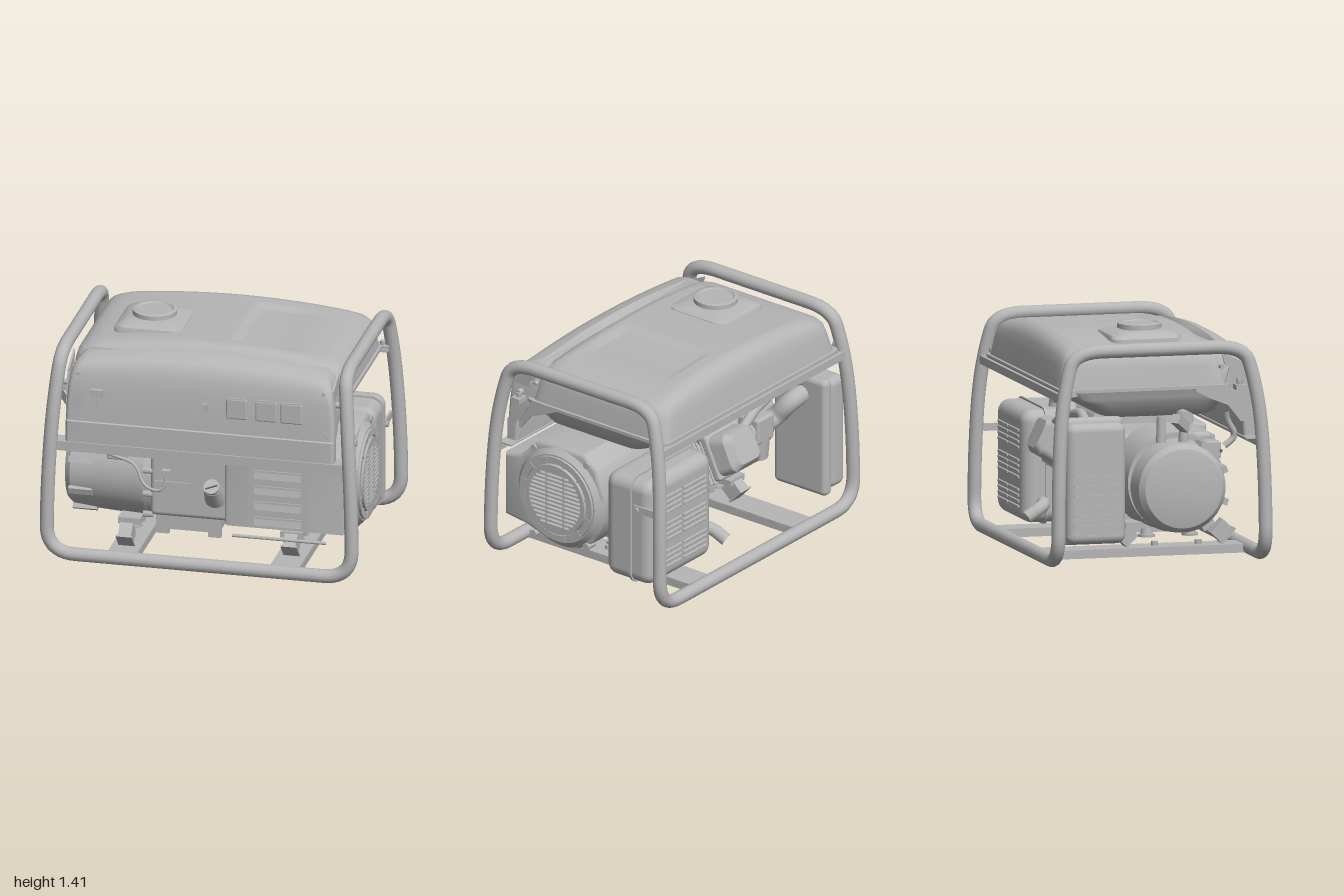
import * as THREE from 'three';
import { toCreasedNormals } from 'three/addons/utils/BufferGeometryUtils.js';
import { RoundedBoxGeometry } from 'three/addons/geometries/RoundedBoxGeometry.js';

const V = (x, y, z) => new THREE.Vector3(x, y, z);

// Rounded rectangle ring with matching point counts, corner by corner
function ring(a0, a1, b0, b1, r, side = 14) {
  const arcs = [[a1 - r, b1 - r], [a0 + r, b1 - r], [a0 + r, b0 + r], [a1 - r, b0 + r]].map(([a, b], c) =>
    Array.from({ length: 7 }, (_, k) => {
      const t = (c + k / 6) * Math.PI / 2;
      return [a + r * Math.cos(t), b + r * Math.sin(t)];
    }));
  return arcs.flatMap((arc, c) => {
    const p = arc[6], q = arcs[(c + 1) % 4][0], out = [...arc];
    for (let k = 1; k < side; k++) out.push([p[0] + (q[0] - p[0]) * k / side, p[1] + (q[1] - p[1]) * k / side]);
    return out;
  });
}

// Upward loft through sections [y, x0, x1, z0, z1, cornerRadius]; warp edits each vertex
function loft(sections, warp = p => p, crease = 0.6) {
  const pos = [], idx = [];
  const rings = sections.map(([y, ...s]) => ring(...s).map(([a, b]) => warp(V(a, y, b))));
  const n = rings[0].length;
  rings.flat().forEach(p => pos.push(p.x, p.y, p.z));
  for (let k = 0; k < rings.length - 1; k++) for (let j = 0; j < n; j++) {
    const a = k * n + j, c = k * n + (j + 1) % n;
    idx.push(a, a + n, c, c, a + n, c + n);
  }
  [0, rings.length - 1].forEach((k, end) => {
    const c = rings[k].reduce((s, p) => s.add(p), V(0, 0, 0)).divideScalar(n);
    pos.push(c.x, c.y, c.z);
    for (let j = 0; j < n; j++) {
      const a = k * n + j, b = k * n + (j + 1) % n, m = pos.length / 3 - 1;
      end ? idx.push(m, b, a) : idx.push(m, a, b);
    }
  });
  const g = new THREE.BufferGeometry();
  g.setAttribute('position', new THREE.Float32BufferAttribute(pos, 3));
  g.setIndex(idx);
  return toCreasedNormals(g, crease);
}

// Polyline with rounded corners, r = cut length at each corner
function roundedPath(pts, r, closed) {
  const path = new THREE.CurvePath(), n = pts.length;
  const toward = (p, q) => p.clone().add(q.clone().sub(p).setLength(Math.min(r, p.distanceTo(q) * 0.49)));
  let last = closed ? null : pts[0], first = null;
  for (let i = closed ? 0 : 1; i < (closed ? n : n - 1); i++) {
    const p = pts[i], a = toward(p, pts[(i + n - 1) % n]), b = toward(p, pts[(i + 1) % n]);
    if (last) path.add(new THREE.LineCurve3(last, a)); else first = a;
    path.add(new THREE.QuadraticBezierCurve3(a, p, b));
    last = b;
  }
  path.add(new THREE.LineCurve3(last, closed ? first : pts[n - 1]));
  return path;
}

export function createModel() {
  const root = new THREE.Group();
  root.name = 'portableGenerator';
  const grey = new THREE.MeshStandardMaterial({ color: 0xb6b6b6 });
  grey.name = 'plain grey';

  const add = (name, geo, x = 0, y = 0, z = 0, rx = 0, ry = 0, rz = 0, parent = root) => {
    const m = new THREE.Mesh(geo, grey);
    m.name = name;
    m.position.set(x, y, z);
    m.rotation.set(rx, ry, rz);
    parent.add(m);
    return m;
  };
  // Box given by its limits
  const box = (name, x0, x1, y0, y1, z0, z1, r = 0) => add(name,
    r ? new RoundedBoxGeometry(x1 - x0, y1 - y0, z1 - z0, 4, r) : new THREE.BoxGeometry(x1 - x0, y1 - y0, z1 - z0),
    (x0 + x1) / 2, (y0 + y1) / 2, (z0 + z1) / 2);
  const cyl = (r1, r2, h, n = 32) => new THREE.CylinderGeometry(r1, r2, h, n);
  // Cylinder along x, ra at the low end, rb at the high end
  const cylX = (name, x0, x1, y, z, ra, rb = ra, n = 48) => add(name, cyl(ra, rb, x1 - x0, n), (x0 + x1) / 2, y, z, 0, 0, Math.PI / 2);
  const pipe = (name, pts, radius, r = 0.06, closed = false, seg = 40) => add(name,
    new THREE.TubeGeometry(roundedPath(pts.map(p => V(...p)), r, closed), seg, radius, 14, closed));
  // Outline in [z, y] extruded from x0 to x1
  const extrudeX = (name, shape, x0, x1, bevel = 0) => {
    const g = new THREE.ExtrudeGeometry(shape, { depth: x1 - x0 - 2 * bevel, bevelEnabled: bevel > 0,
      bevelSize: bevel, bevelThickness: bevel, bevelOffset: -bevel, bevelSegments: 3, curveSegments: 32 });
    g.translate(0, 0, bevel).rotateY(Math.PI / 2);
    return add(name, toCreasedNormals(g, 0.6), x0);
  };
  const outline = pts => new THREE.Shape(pts.map(([z, y]) => new THREE.Vector2(-z, y)));
  const lathe = pts => toCreasedNormals(new THREE.LatheGeometry(pts.map(p => new THREE.Vector2(...p)), 48), 0.6);

  // Tube frame: one closed loop
  const quarter = [[0.943, 0.045, 0.647], [0.935, 0.5, 0.642], [0.915, 0.87, 0.625], [0.895, 1.12, 0.585], [0.875, 1.31, 0.53]];
  const mir = (sx, sz) => quarter.map(([x, y, z]) => [x * sx + 0.013, y, z * sz]);
  pipe('tubeFrame', [...mir(1, 1), ...mir(1, -1).reverse(), ...mir(-1, -1), ...mir(-1, 1).reverse()], 0.042, 0.18, true, 360);

  // Base rails and rubber mounts
  for (const x of [-0.47, 0.53]) {
    box('baseRailTop', x - 0.09, x + 0.09, 0.055, 0.067, -0.64, 0.64);
    for (const s of [-0.085, 0.085]) box('baseRailFlange', x + s - 0.006, x + s + 0.006, 0.015, 0.06, -0.64, 0.64);
    for (const [z, s] of [[x < 0 ? 0.49 : 0.42, 1], [-0.1, -1]]) {
      add('mountBlock', new THREE.BoxGeometry(0.08, 0.11, 0.09), x, 0.145, z, s * 0.75);
      add('mountPlate', new THREE.BoxGeometry(0.1, 0.13, 0.012), x, 0.11, z + s * 0.037, s * 0.75);
    }
    for (const z of [0.3, 0.03]) {
      add('rubberMount', cyl(0.03, 0.04, 0.06, 20), x, 0.15, z);
      add('mountFlange', cyl(0.05, 0.05, 0.015, 20), x, 0.13, z);
      add('mountBolt', cyl(0.022, 0.022, 0.025, 6), x, 0.08, z + 0.05);
    }
    box('engineFoot', x - 0.07, x + 0.07, 0.18, 0.22, -0.12, 0.43);
  }

  // Fuel tank lower shell
  add('tankLowerShell', loft([[0.88, -0.66, 0.66, -0.27, 0.38, 0.1], [0.9, -0.72, 0.72, -0.32, 0.41, 0.1],
    [0.98, -0.79, 0.79, -0.46, 0.43, 0.1], [1.01, -0.8, 0.8, -0.53, 0.44, 0.08], [1.06, -0.82, 0.82, -0.57, 0.45, 0.08]]));
  // Fuel tank upper shell: domed, its top rings closing in on a pressed tray that runs out to the side
  const y0 = 1.328, top = [-0.7, 0.71, -0.46, 0.3, 0.1], tray = [0.115, 0.68, -0.39, 0.275, 0.04], floor = [0.165, 0.66, -0.34, 0.225, 0.03];
  const morph = (a, b, steps) => Array.from({ length: steps }, (_, i) => [y0, ...a.map((v, k) => v + (b[k] - v) * (i + 1) / steps)]);
  const grow = (r, d) => [r[0] - d, r[1] + d, r[2] - d, r[3] + d, r[4]];
  const sunk = morph(grow(floor, -0.006), [0.41, 0.43, -0.07, -0.05, 0.005], 8);
  const tankRings = [[1.06, -0.86, 0.86, -0.61, 0.46, 0.06], [1.08, -0.86, 0.86, -0.61, 0.46, 0.06],
    [1.081, -0.84, 0.845, -0.595, 0.44, 0.08], [1.2, -0.82, 0.83, -0.575, 0.42, 0.1], [1.26, -0.81, 0.82, -0.56, 0.4, 0.1],
    [1.295, -0.79, 0.8, -0.54, 0.38, 0.1], [1.318, -0.75, 0.76, -0.505, 0.345, 0.1], [y0, ...top],
    ...morph(top, grow(tray, 0.006), 10), [y0, ...tray], [y0, ...floor], [y0, ...grow(floor, -0.006)], ...sunk];
  add('tankUpperShell', loft(tankRings, p => {
    const inTray = p.x > 0.16 && p.z > -0.345 && p.z < 0.23 && p.x < 0.661 && p.y === y0;
    p.y += Math.max(0, (p.y - 1.2) / 0.128) * (0.028 - 0.1 * p.x * p.x);
    if (inTray) p.y -= 0.024 * (1 - THREE.MathUtils.smoothstep(p.x, 0.3, 0.655));
    return p;
  }, 0.9));
  // Filler neck and cap
  add('fillerBase', loft([[1.29, -0.63, -0.195, -0.225, 0.22, 0.07], [1.34, -0.625, -0.2, -0.22, 0.215, 0.07],
    [1.357, -0.61, -0.205, -0.21, 0.21, 0.07], [1.378, -0.56, -0.265, -0.15, 0.145, 0.06]]));
  add('fuelCap', lathe([[0, 1.36], [0.115, 1.36], [0.115, 1.385], [0.134, 1.385], [0.134, 1.412], [0.128, 1.416],
    [0.112, 1.416], [0.105, 1.408], [0, 1.408]]), -0.413, 0, 0);

  // Tank support rails and corner brackets
  box('rearTankRail', -0.9, 0.9, 1.045, 1.06, -0.63, -0.52);
  box('rearTankRailLip', -0.9, 0.9, 1.01, 1.05, -0.63, -0.62);
  for (const s of [-1, 1]) {
    for (const z of [-0.56, 0.5]) {
      add('tankBracket', new THREE.BoxGeometry(0.08, 0.03, 0.06), s * 0.86, 1.065, z);
      add('tankBolt', cyl(0.018, 0.018, 0.06, 6), s * 0.86, 1.075, z);
    }
    const side = extrudeX('panelSideBracket', outline([[0.58, 0.85], [0.52, 0.85], [0.44, 0.95], [0.34, 0.99], [0.24, 1.04],
      [0.24, 1.07], [0.42, 1.08], [0.45, 1.18], [0.42, 1.2], [0.4, 1.27], [0.55, 1.2], [0.59, 1.0]]), -0.006, 0.006);
    side.position.x += s * 0.815;
    cylX('bracketScrew', s * 0.83 - 0.03, s * 0.83 + 0.03, 1.1, 0.51, 0.02, 0.02, 12);
    cylX('bracketScrew', s * 0.82 - 0.02, s * 0.82 + 0.02, 1.185, 0.4, 0.014, 0.014, 12);
  }

  // Control panel housing
  add('controlPanel', loft([[0.76, -0.82, 0.835, 0.54, 0.62, 0.02], [0.89, -0.82, 0.835, 0.53, 0.62, 0.02],
    [0.895, -0.82, 0.835, 0.53, 0.61, 0.02], [1.0, -0.82, 0.835, 0.45, 0.606, 0.03], [1.12, -0.81, 0.825, 0.37, 0.598, 0.03],
    [1.2, -0.795, 0.81, 0.355, 0.585, 0.04], [1.25, -0.78, 0.795, 0.355, 0.565, 0.05], [1.275, -0.765, 0.78, 0.355, 0.54, 0.05],
    [1.292, -0.745, 0.76, 0.355, 0.5, 0.04], [1.304, -0.72, 0.735, 0.355, 0.44, 0.035]], p => {
    p.y += Math.max(0, (p.y - 1.18) / 0.13) * (0.03 - 0.1 * p.x * p.x);
    return p;
  }));
  box('frontCrossPlate', -0.92, 0.92, 0.7, 0.76, 0.615, 0.63);
  box('crossPlateShelf', -0.9, 0.9, 0.75, 0.76, 0.53, 0.62);
  // Panel fittings
  for (const [x0, x1] of [[0.17, 0.3], [0.35, 0.485], [0.505, 0.64]]) {
    box('socketCover', x0, x1, 0.99, 1.12, 0.59, 0.612, 0.01);
    box('socketHinge', x0 + 0.01, x1 - 0.01, 1.115, 1.125, 0.59, 0.61);
  }
  box('engineSwitch', -0.665, -0.59, 1.06, 1.105, 0.58, 0.625);
  box('switchStem', -0.635, -0.62, 0.97, 1.06, 0.598, 0.612);
  box('breaker', 0.025, 0.055, 1.03, 1.075, 0.59, 0.625);
  for (const [x, y, z] of [[-0.78, 0.925, 0.61], [0.79, 0.925, 0.61], [-0.75, 1.19, 0.585], [0.765, 1.19, 0.585]])
    add('panelScrew', cyl(0.012, 0.012, 0.015, 12), x, y, z, Math.PI / 2);

  // Fan shroud
  extrudeX('fanShroud', outline([[0.58, 0.29], [0.58, 0.7], [0.46, 0.72], [0.34, 0.84], [0.22, 0.86], [-0.02, 0.86], [-0.12, 0.78],
    [-0.175, 0.62], [-0.17, 0.45], [-0.09, 0.29], [0.02, 0.22], [0.26, 0.22], [0.42, 0.27]]), 0.15, 0.905, 0.025);
  box('louvrePanel', 0.3, 0.665, 0.3, 0.69, 0.57, 0.584);
  for (let i = 0; i < 4; i++) {
    const y = 0.335 + i * 0.1;
    for (const d of [-0.027, 0.027]) box('louvreEdge', 0.335, 0.63, y + d - 0.004, y + d + 0.004, 0.575, 0.592);
    add('louvreBlade', new THREE.BoxGeometry(0.29, 0.045, 0.006), 0.482, y, 0.584, -0.2);
  }
  // Recoil starter
  const cy = 0.53, cz = 0.153;
  cylX('recoilCover', 0.89, 0.935, cy, cz, 0.33, 0.285);
  const face = new THREE.Shape().absarc(0, 0, 0.225, 0, Math.PI * 2);
  for (let r = -6; r <= 6; r++) for (const c of [-1, 0, 1]) {
    const y = r * 0.027, half = Math.sqrt(0.195 ** 2 - y * y);
    const a = c === 0 ? -0.06 : c > 0 ? 0.07 : -half, b = c === 0 ? 0.06 : c > 0 ? half : -0.07;
    if (b - a > 0.02) face.holes.push(new THREE.Path([[a, y - 0.008], [a, y + 0.008], [b, y + 0.008], [b, y - 0.008]].map(p => new THREE.Vector2(...p))));
  }
  extrudeX('recoilGrille', face, 0.93, 0.96).position.set(0.93, cy, cz);
  const rim = new THREE.Shape().absarc(0, 0, 0.275, 0, Math.PI * 2);
  rim.holes.push(new THREE.Path().absarc(0, 0, 0.235, 0, Math.PI * 2, true));
  extrudeX('recoilRim', rim, 0.93, 0.95).position.set(0.93, cy, cz);
  for (let i = 0; i < 12; i++) {
    const t = (i + 0.5) * Math.PI / 6;
    add('recoilRib', new THREE.BoxGeometry(0.012, 0.045, 0.01), 0.947, cy + 0.252 * Math.cos(t), cz + 0.252 * Math.sin(t), t);
  }
  for (const [z, y] of [[0.35, 0.8], [-0.05, 0.8], [0.35, 0.23], [-0.05, 0.26]]) cylX('shroudBolt', 0.84, 0.915, y, z, 0.022, 0.022, 12);

  // Engine block and oil sump
  box('crankcase', -0.33, 0.2, 0.27, 0.72, -0.12, 0.48, 0.03);
  box('blockFrontPanel', -0.3, -0.08, 0.33, 0.5, 0.47, 0.49);
  box('blockTopCover', -0.31, 0.15, 0.66, 0.7, 0.44, 0.5);
  box('sump', -0.3, 0.1, 0.2, 0.3, -0.08, 0.42);
  for (let i = 0; i < 7; i++) box('sumpFin', -0.26, 0.06, 0.15, 0.21, -0.06 + i * 0.07, -0.045 + i * 0.07);
  box('sumpFrontPlate', -0.3, 0.1, 0.2, 0.28, 0.42, 0.45);
  for (const x of [-0.26, 0.06]) box('sumpFrontFoot', x - 0.04, x + 0.04, 0.15, 0.22, 0.42, 0.45);
  add('oilNeck', cyl(0.05, 0.07, 0.14, 24), 0.07, 0.46, 0.5, 0.8);
  add('oilCap', cyl(0.048, 0.048, 0.03, 24), 0.07, 0.515, 0.555, 0.8);
  add('oilCapGrip', new THREE.BoxGeometry(0.075, 0.03, 0.016), 0.07, 0.53, 0.572, 0.8, 0.4);
  pipe('lowBracketRod', [[0.2, 0.225, 0.57], [0.78, 0.225, 0.57]], 0.01);
  for (const x of [-0.33, -0.36]) for (const y of [0.27, 0.4, 0.55, 0.65]) cylX('caseBolt', x - 0.015, x + 0.015, y, 0.46, 0.02, 0.02, 8);

  // Inclined cylinder with cooling fins and valve cover
  const barrel = new THREE.Group();
  barrel.name = 'cylinderAssembly';
  barrel.position.set(-0.03, 0.5, -0.08);
  barrel.rotation.x = -1.13;
  root.add(barrel);
  add('cylinderBarrel', cyl(0.12, 0.13, 0.34), 0, 0.15, 0, 0, 0, 0, barrel);
  for (let i = 0; i < 9; i++) add('coolingFin', new RoundedBoxGeometry(0.34, 0.012, 0.31, 2, 0.005), 0, 0.05 + i * 0.032, 0, 0, 0, 0, barrel);
  add('cylinderHead', new RoundedBoxGeometry(0.32, 0.06, 0.29, 3, 0.02), 0, 0.33, 0, 0, 0, 0, barrel);
  add('valveCover', loft([[0.35, -0.15, 0.15, -0.13, 0.13, 0.05], [0.46, -0.14, 0.14, -0.12, 0.12, 0.05], [0.5, -0.1, 0.1, -0.09, 0.09, 0.04]]),
    0, 0, 0, 0, 0, 0, barrel);

  // Alternator
  cylX('alternatorAdapter', -0.39, -0.31, 0.48, 0.15, 0.32, 0.3);
  cylX('alternatorBody', -0.7, -0.38, 0.48, 0.15, 0.3, 0.32);
  add('alternatorEndBell', lathe([[0.285, 0.69], [0.27, 0.84], [0.24, 0.875], [0.17, 0.89], [0, 0.89]]), 0, 0.46, 0.15, 0, 0, Math.PI / 2);
  for (const a of [0.5, 1.2, 1.9, 2.6]) add('endBellRib', new THREE.BoxGeometry(0.15, 0.03, 0.04), -0.77,
    0.46 + 0.285 * Math.cos(a), 0.15 + 0.285 * Math.sin(a), a);
  box('terminalBox', -0.6, -0.48, 0.6, 0.7, 0.36, 0.46, 0.01);
  pipe('harness', [[-0.74, 0.68, 0.42], [-0.6, 0.64, 0.46], [-0.42, 0.6, 0.48], [-0.36, 0.46, 0.51], [-0.24, 0.44, 0.52], [-0.22, 0.56, 0.51]], 0.009);
  box('harnessPlug', -0.25, -0.2, 0.54, 0.58, 0.48, 0.52);

  // Muffler with louvred back
  box('mufflerBody', 0.28, 0.9, 0.115, 0.8, -0.53, -0.175, 0.075);
  const seam = new THREE.Shape(ring(0.27, 0.912, 0.103, 0.812, 0.085).map(p => new THREE.Vector2(...p)));
  add('mufflerSeam', new THREE.ExtrudeGeometry(seam, { depth: 0.014, bevelEnabled: false }), 0, 0, -0.39);
  for (let i = 0; i < 12; i++) {
    const y = 0.2 + Math.floor(i / 4) * 0.18 + (i % 4) * 0.034;
    for (const [x0, x1] of [[0.36, 0.58], [0.6, 0.82]]) box('mufflerLouvre', x0, x1, y, y + 0.018, -0.54, -0.52, 0.005);
  }
  box('mufflerStrap', 0.895, 0.91, 0.6, 0.645, -0.6, -0.41);
  add('strapBolt', cyl(0.02, 0.02, 0.02, 6), 0.915, 0.62, -0.435, 0, 0, Math.PI / 2);
  pipe('exhaustPipe', [[0.45, 0.76, -0.28], [0.45, 0.87, -0.27], [0.3, 0.86, -0.24], [0.12, 0.8, -0.28], [0.05, 0.68, -0.3]], 0.045, 0.1);
  pipe('exhaustOutlet', [[0.32, 0.24, -0.4], [0.19, 0.24, -0.42], [0.17, 0.17, -0.54]], 0.04, 0.08);

  // Air cleaner, carburettor and fuel hose
  box('airCleanerBase', -0.79, -0.71, 0.13, 0.9, -0.6, -0.2, 0.035);
  box('airCleanerCover', -0.93, -0.78, 0.15, 0.88, -0.59, -0.22, 0.05);
  for (let i = 0; i < 7; i++) box('airCleanerRib', -0.94, -0.92, 0.2 + i * 0.06, 0.21 + i * 0.06, -0.55, -0.26);
  cylX('carburettor', -0.5, -0.2, 0.62, -0.3, 0.065, 0.07, 24);
  add('floatBowl', cyl(0.085, 0.075, 0.13, 24), -0.42, 0.5, -0.3);
  box('carburettorBody', -0.5, -0.34, 0.55, 0.72, -0.38, -0.22, 0.02);
  pipe('intakeDuct', [[-0.45, 0.62, -0.3], [-0.6, 0.62, -0.3], [-0.62, 0.75, -0.4], [-0.75, 0.78, -0.42]], 0.06, 0.08);
  for (const z of [-0.22, -0.32]) add('linkagePost', cyl(0.025, 0.03, 0.12, 12), -0.36, 0.76, z);
  pipe('breatherHose', [[-0.12, 0.78, -0.44], [-0.25, 0.84, -0.42], [-0.55, 0.9, -0.4], [-0.74, 0.86, -0.42]], 0.03);
  pipe('fuelHose', [[-0.7, 0.9, 0.46], [-0.68, 0.84, 0.47], [-0.66, 0.74, 0.54], [-0.66, 0.68, 0.46]], 0.02);
  add('fuelOutlet', cyl(0.07, 0.05, 0.05, 20), -0.4, 0.87, 0.12);
  // Fuel valve and lever on the end
  add('fuelValve', cyl(0.045, 0.045, 0.1, 20), -0.86, 0.89, 0.16, 0, 0, Math.PI / 2);
  for (const z of [0.02, 0.16]) add('fuelValvePost', cyl(0.025, 0.03, 0.16, 16), -0.83, 0.82, z);
  add('fuelValveLever', new THREE.BoxGeometry(0.15, 0.06, 0.05), -0.945, 0.87, 0.11, 0, -0.75, -0.5);
  return root;
}
